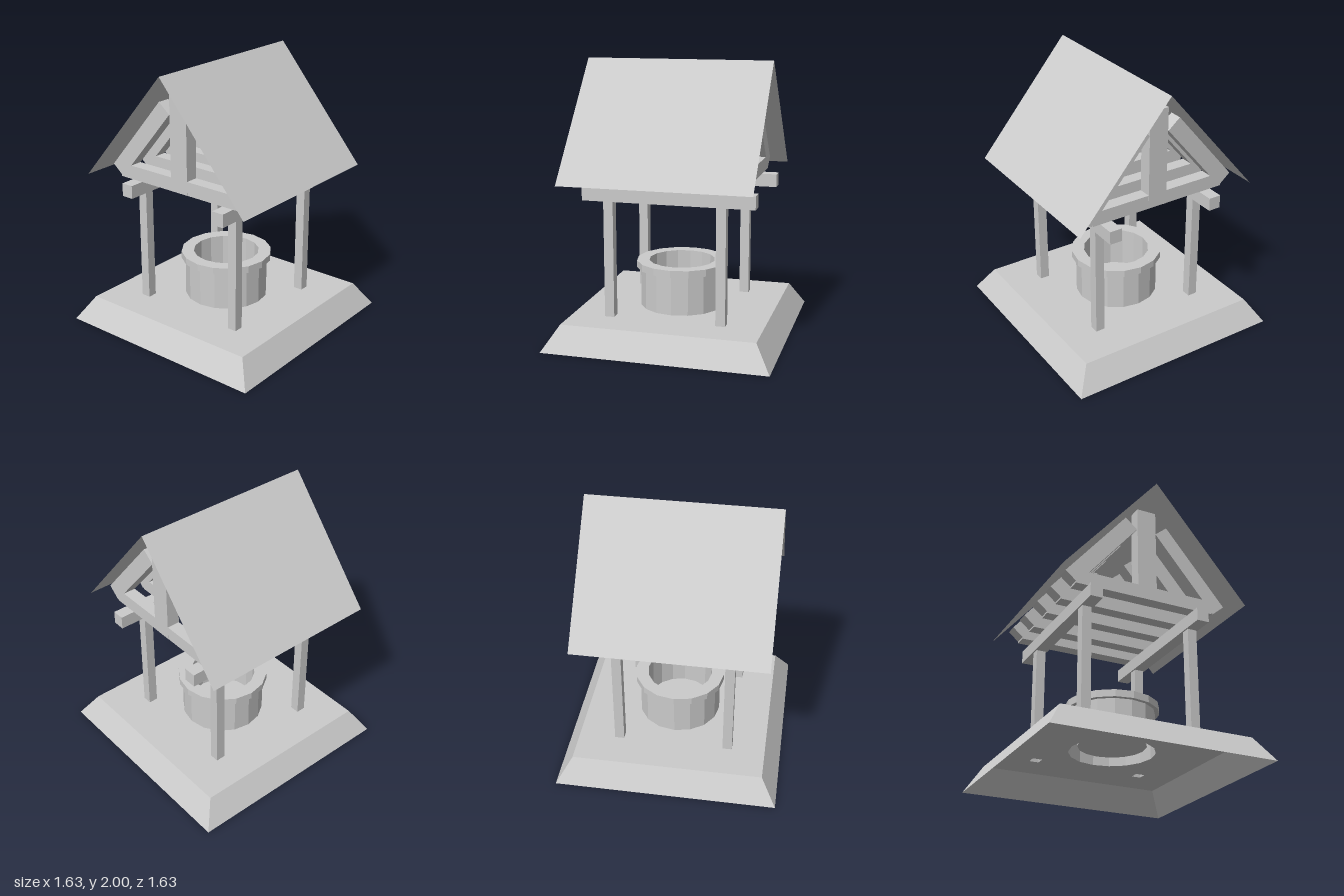
import * as THREE from 'three';

const mat = new THREE.MeshStandardMaterial({ color: 0xcccccc, flatShading: true });
const sheetMat = new THREE.MeshStandardMaterial({ color: 0xcccccc, flatShading: true, side: THREE.DoubleSide });

function add(parent, name, geometry, x = 0, y = 0, z = 0, material = mat) {
  const mesh = new THREE.Mesh(geometry, material);
  mesh.name = name;
  mesh.position.set(x, y, z);
  parent.add(mesh);
  return mesh;
}

// box given by its centre in x and z, and its bottom and top
function beam(parent, name, x, z, width, depth, y0, y1) {
  return add(parent, name, new THREE.BoxGeometry(width, y1 - y0, depth), x, (y0 + y1) / 2, z);
}

function lathe(points, sides, start) {
  const profile = points.map(([r, y]) => new THREE.Vector2(r, y));
  return new THREE.LatheGeometry(profile, sides, start);
}

const POST_X = [-0.414, 0.414];
const POST_Z = [0.42, -0.395];
const POST = 0.07;
const BASE_Y = 0.18;
const WELL_R = 0.308;
const WELL_SIDES = 16;

function createBase() {
  const base = new THREE.Group();
  base.name = 'base';

  // thin sloping sides, open below
  const d = Math.SQRT2;
  add(base, 'plinthSides', lathe([[0.813 * d, 0], [0.7 * d, BASE_Y]], 4, Math.PI / 4), 0, 0, 0, sheetMat);

  // thin floor with openings under the well and the posts
  const square = (x, y, h) => [[-h, -h], [h, -h], [h, h], [-h, h]]
    .map(([a, b]) => new THREE.Vector2(x + a, y + b));
  const floor = new THREE.Shape(square(0, 0, 0.7));
  const ring = [];
  for (let i = 0; i < WELL_SIDES; i++) {
    const a = i * 2 * Math.PI / WELL_SIDES;
    ring.push(new THREE.Vector2(WELL_R * Math.sin(a), WELL_R * Math.cos(a)));
  }
  floor.holes.push(new THREE.Path(ring));
  for (const x of POST_X) for (const z of POST_Z) floor.holes.push(new THREE.Path(square(x, -z, POST / 2)));
  add(base, 'floor', new THREE.ShapeGeometry(floor).rotateX(-Math.PI / 2), 0, BASE_Y, 0, sheetMat);
  return base;
}

function createWell() {
  // outer wall, overhanging rim, inner shaft and its bottom
  return lathe([
    [WELL_R, BASE_Y], [WELL_R, 0.47], [0.338, 0.47], [0.338, 0.522],
    [0.245, 0.522], [0.245, 0.225], [0, 0.225],
  ], WELL_SIDES, 0);
}

function createTruss(z, withKingPost) {
  const truss = new THREE.Group();
  truss.name = 'truss';
  truss.position.z = z;
  const depth = 0.095;

  beam(truss, 'tieBeam', 0, 0, 1.07, depth, 1.142, 1.243);

  // slanted rafters, mirrored about the ridge
  for (const side of [-1, 1]) {
    const outline = [[0.624, 1.22], [0.165, 1.765], [0.075, 1.69], [0.533, 1.144]]
      .map(([x, y]) => new THREE.Vector2(0.011 + side * x, y));
    const rafter = new THREE.ExtrudeGeometry(new THREE.Shape(outline), { depth, bevelEnabled: false });
    add(truss, side < 0 ? 'rightRafter' : 'leftRafter', rafter, 0, 0, -depth / 2);
  }
  if (withKingPost) beam(truss, 'kingPost', 0.014, 0, 0.147, depth + 0.002, 1.142, 1.862);
  return truss;
}

function createRoofCover() {
  // thin sheet folded over the ridge
  const positions = [];
  for (const [x, y] of [[-0.703, 1.168], [0.01, 2], [0.708, 1.172]]) {
    for (const z of [0.708, -0.665]) positions.push(x, y, z);
  }
  const geometry = new THREE.BufferGeometry();
  geometry.setAttribute('position', new THREE.Float32BufferAttribute(positions, 3));
  geometry.setIndex([0, 2, 3, 0, 3, 1, 2, 4, 5, 2, 5, 3]);
  const sheet = geometry.toNonIndexed();
  sheet.computeVertexNormals();
  return sheet;
}

export function createModel() {
  const model = new THREE.Group();
  model.name = 'coveredWell';

  model.add(createBase());
  add(model, 'well', createWell(), 0, 0, 0, sheetMat);

  // hollow square posts under two long plates
  const postTop = 1.035;
  for (const x of POST_X) {
    for (const z of POST_Z) {
      const r = POST / Math.SQRT2;
      const post = new THREE.CylinderGeometry(r, r, postTop - BASE_Y, 4, 1, true).rotateY(Math.PI / 4);
      add(model, 'post', post, x, (postTop + BASE_Y) / 2, z, sheetMat);
    }
    beam(model, 'wallPlate', x, -0.013, 0.092, 1.246, 1.028, 1.125);
  }

  // roof frame and cover
  const roof = new THREE.Group();
  roof.name = 'roof';
  const trussZ = [0.488, 0.23, -0.015, -0.267, -0.493];
  trussZ.forEach((z, i) => roof.add(createTruss(z, i === 0 || i === trussZ.length - 1)));
  add(roof, 'roofCover', createRoofCover(), 0, 0, 0, sheetMat);
  model.add(roof);

  return model;
}
